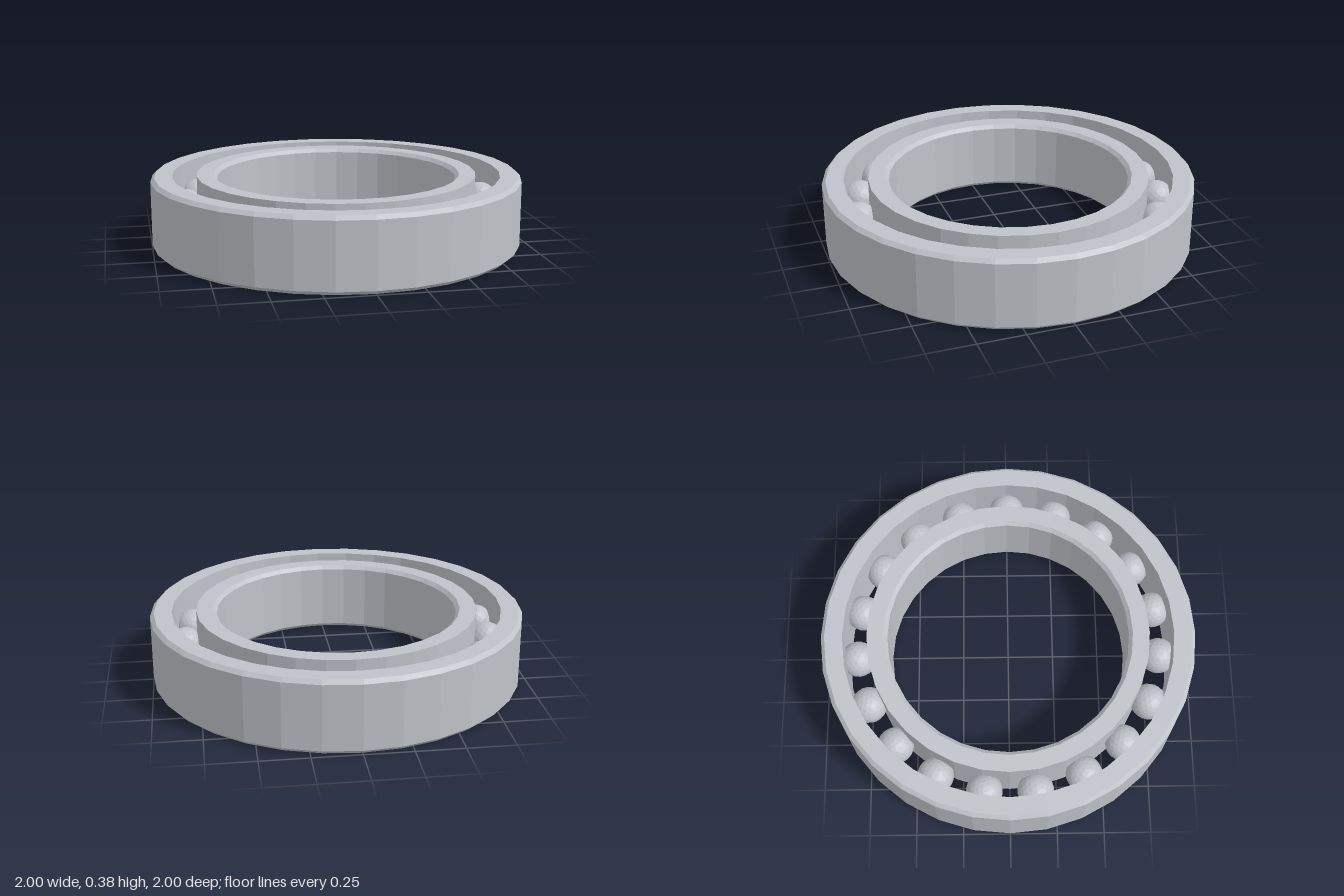
import * as THREE from 'three';

const HEIGHT = 0.385;
const CHAMFER = 0.02;
const SEGMENTS = 32;
const BALL_COUNT = 19;
const BALL_ORBIT = 0.82;
const BALL_RADIUS = 0.097;

// Revolves a closed profile, listed upwards on the outside and downwards on the inside
function ring(name, profile, material) {
  const points = [...profile, profile[0]].map(([r, y]) => new THREE.Vector2(r, y));
  const mesh = new THREE.Mesh(new THREE.LatheGeometry(points, SEGMENTS), material);
  mesh.name = name;
  return mesh;
}

export function createModel() {
  const steel = new THREE.MeshStandardMaterial({ color: 0xbfc3c9 });
  steel.name = 'steel';
  steel.flatShading = true;

  const model = new THREE.Group();
  model.name = 'ballBearing';

  // Outer race, chamfered on its outer rims
  model.add(ring('outerRace', [
    [1 - CHAMFER, 0], [1, CHAMFER], [1, HEIGHT - CHAMFER], [1 - CHAMFER, HEIGHT],
    [0.885, HEIGHT], [0.885, 0],
  ], steel));

  // Inner race, chamfered on the rims of its bore
  const bore = 0.645;
  model.add(ring('innerRace', [
    [0.755, 0], [0.755, HEIGHT],
    [bore + CHAMFER, HEIGHT], [bore, HEIGHT - CHAMFER], [bore, CHAMFER], [bore + CHAMFER, 0],
  ], steel));

  // Balls evenly spaced between the races
  const balls = new THREE.Group();
  balls.name = 'balls';
  const ballGeometry = new THREE.IcosahedronGeometry(BALL_RADIUS, 3);
  for (let i = 0; i < BALL_COUNT; i++) {
    const angle = (i / BALL_COUNT) * Math.PI * 2;
    const ball = new THREE.Mesh(ballGeometry, steel);
    ball.name = 'ball';
    ball.position.set(BALL_ORBIT * Math.cos(angle), HEIGHT / 2, BALL_ORBIT * Math.sin(angle));
    ball.rotation.y = -angle;
    balls.add(ball);
  }
  model.add(balls);

  return model;
}
